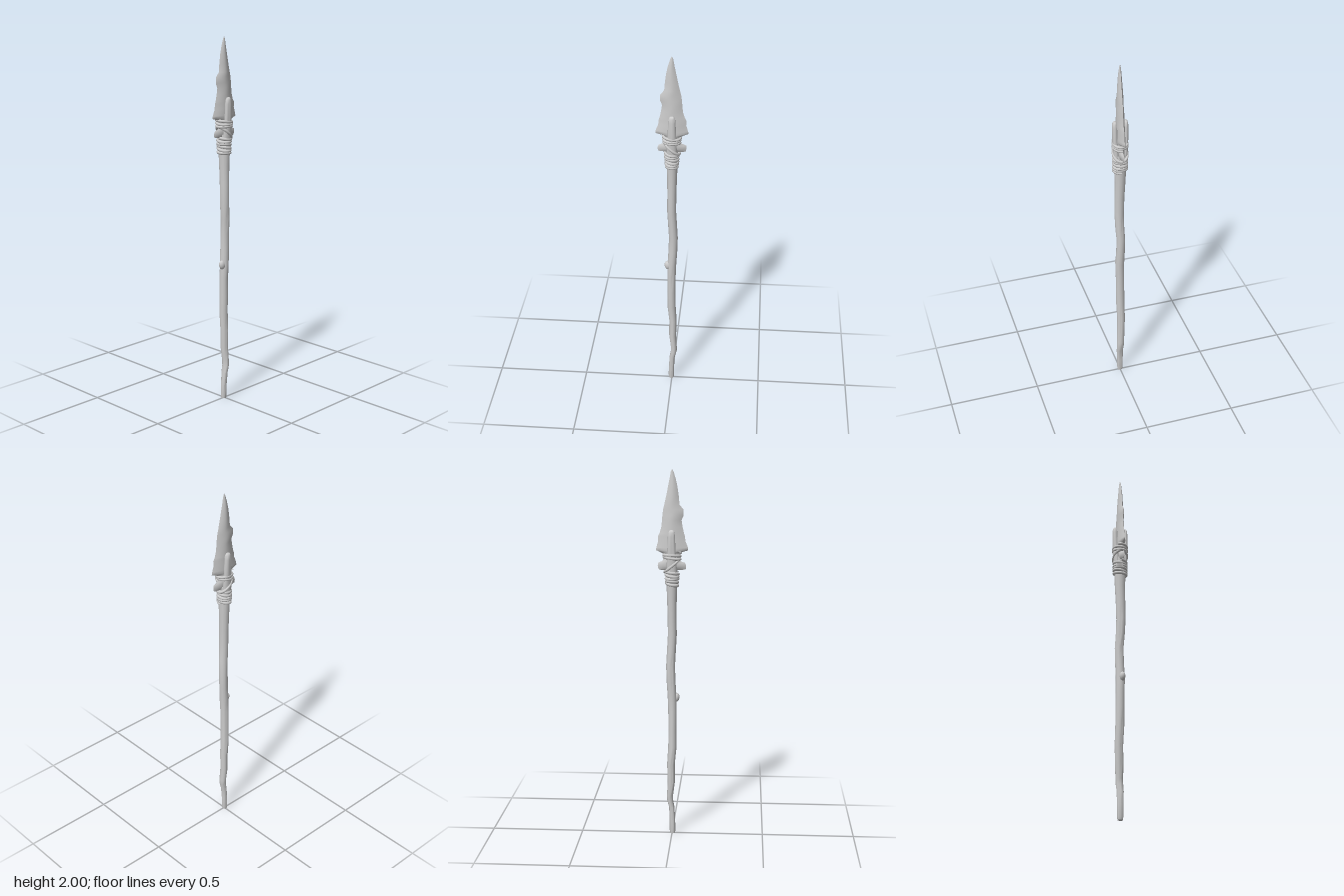
import * as THREE from 'three';
import { toCreasedNormals } from 'three/addons/utils/BufferGeometryUtils.js';

const material = new THREE.MeshStandardMaterial({ color: 0xcccccc });

// Skin a list of point loops (bottom to top) with quads.
function skin(loops, closed) {
  const n = loops[0].length, positions = [], index = [];
  loops.forEach(loop => loop.forEach(p => positions.push(...p)));
  for (let i = 0; i < loops.length - 1; i++) {
    for (let j = 0; j < (closed ? n : n - 1); j++) {
      const k = (j + 1) % n;
      const a = i * n + j, b = a + n, c = i * n + k, d = c + n;
      index.push(a, b, c, c, b, d);
    }
  }
  const geometry = new THREE.BufferGeometry();
  geometry.setAttribute('position', new THREE.Float32BufferAttribute(positions, 3));
  geometry.setIndex(index);
  geometry.computeVertexNormals();
  return geometry;
}

// Elliptical sections [x, y, z, radiusX, radiusZ], closed at both ends.
function limb(sections, sides = 12) {
  const loop = ([x, y, z, rx, rz], s = 1) => Array.from({ length: sides }, (_, j) => {
    const a = (j / sides) * Math.PI * 2;
    return [x + Math.cos(a) * rx * s, y, z + Math.sin(a) * rz * s];
  });
  const loops = sections.map(s => loop(s));
  loops.unshift(loop(sections[0], 0));
  loops.push(loop(sections[sections.length - 1], 0));
  return toCreasedNormals(skin(loops, true), 0.9);
}

export function createModel() {
  const model = new THREE.Group();
  const add = (name, geometry, parent = model) => {
    const mesh = new THREE.Mesh(geometry, material);
    mesh.name = name;
    parent.add(mesh);
    return mesh;
  };

  // Crooked wooden shaft
  add('shaft', limb([
    [-0.003, 0, 0, 0.013, 0.014], [-0.003, 0.015, 0, 0.016, 0.016],
    [-0.002, 0.08, 0, 0.015, 0.017], [0.002, 0.15, 0.002, 0.015, 0.019],
    [0.011, 0.19, 0.001, 0.017, 0.02], [0.011, 0.22, 0, 0.017, 0.021],
    [0.004, 0.3, -0.003, 0.02, 0.022], [0.006, 0.4, -0.004, 0.021, 0.023],
    [-0.002, 0.5, -0.002, 0.023, 0.024], [-0.002, 0.6, -0.001, 0.022, 0.024],
    [-0.002, 0.7, 0, 0.023, 0.024], [0, 0.78, 0.002, 0.024, 0.025],
    [0.005, 0.86, -0.001, 0.024, 0.024], [0.008, 0.95, -0.002, 0.024, 0.024],
    [0.004, 1.03, 0.003, 0.024, 0.025], [-0.001, 1.12, 0.005, 0.024, 0.026],
    [0, 1.22, 0.003, 0.024, 0.027], [0.001, 1.32, 0, 0.026, 0.029],
    [0.001, 1.4, 0, 0.029, 0.033], [0.001, 1.49, 0, 0.031, 0.036],
  ]));

  // Stub of a broken twig
  const knot = add('knot', new THREE.SphereGeometry(1, 12, 8));
  knot.scale.set(0.02, 0.026, 0.016);
  knot.position.set(-0.02, 0.775, 0.006);
  knot.rotation.z = 0.25;

  // Split top of the shaft gripping the blade
  for (const side of [1, -1]) {
    add(side > 0 ? 'frontProng' : 'backProng', limb([
      [0.001, 1.42, side * 0.02, 0.026, 0.014], [0.001, 1.5, side * 0.024, 0.026, 0.015],
      [0.002, 1.58, side * 0.028, 0.022, 0.014], [0.002, 1.65, side * 0.029, 0.019, 0.014],
      [0.002, 1.672, side * 0.029, 0.017, 0.012], [0.002, 1.682, side * 0.029, 0.011, 0.008],
      [0.002, 1.685, side * 0.029, 0.005, 0.004],
    ]));
  }

  // Chipped stone blade: [y, left edge, right edge, half thickness]
  const rows = [
    [1.472, -0.055, 0.06, 0.002], [1.476, -0.072, 0.072, 0.012],
    [1.494, -0.075, 0.076, 0.018], [1.51, -0.068, 0.074, 0.018],
    [1.52, -0.042, 0.05, 0.019], [1.555, -0.04, 0.042, 0.02],
    [1.566, -0.05, 0.062, 0.021], [1.576, -0.085, 0.086, 0.022],
    [1.59, -0.084, 0.083, 0.022], [1.625, -0.07, 0.073, 0.021],
    [1.65, -0.068, 0.075, 0.02], [1.665, -0.063, 0.066, 0.02],
    [1.7, -0.055, 0.056, 0.019], [1.735, -0.05, 0.053, 0.019],
    [1.76, -0.061, 0.051, 0.018], [1.79, -0.06, 0.047, 0.017],
    [1.815, -0.039, 0.041, 0.016], [1.86, -0.035, 0.031, 0.014],
    [1.91, -0.028, 0.021, 0.011], [1.95, -0.019, 0.013, 0.008],
    [1.985, -0.008, 0.007, 0.004], [2, 0, 0, 0],
  ];
  const blade = new THREE.Group();
  blade.name = 'blade';
  model.add(blade);
  for (const side of [1, -1]) {
    const loops = rows.map(([y, left, right, t]) => Array.from({ length: 13 }, (_, j) => {
      const s = (1 - j / 6) * side;
      const x = (left + right) / 2 + s * (right - left) / 2;
      return [x, y, side * t * (1 - Math.abs(s) ** 1.8)];
    }));
    add(side > 0 ? 'bladeFront' : 'bladeBack', skin(loops, false), blade);
  }

  // Cord windings
  const binding = new THREE.Group();
  binding.name = 'binding';
  model.add(binding);
  class Winding extends THREE.Curve {
    constructor(y0, y1, turns, rx0, rx1, rz) {
      super();
      Object.assign(this, { y0, y1, turns, rx0, rx1, rz });
    }
    getPoint(t, target = new THREE.Vector3()) {
      const a = t * this.turns * Math.PI * 2;
      const rx = THREE.MathUtils.lerp(this.rx0, this.rx1, t);
      const y = THREE.MathUtils.lerp(this.y0, this.y1, t) + 0.003 * Math.sin(a * 1.3);
      return target.set(Math.cos(a) * rx, y, Math.sin(a) * this.rz);
    }
  }
  add('lowerWinding', new THREE.TubeGeometry(
    new Winding(1.384, 1.468, 5.5, 0.028, 0.034, 0.034), 130, 0.0085, 8), binding);
  add('upperWinding', new THREE.TubeGeometry(
    new Winding(1.525, 1.562, 2.6, 0.042, 0.045, 0.036), 80, 0.0075, 8), binding);

  // Slanted cord passing between the blade's side notches
  const slanted = Array.from({ length: 16 }, (_, j) => {
    const a = (j / 16) * Math.PI * 2;
    return new THREE.Vector3(Math.cos(a) * 0.039, 1.495 - Math.cos(a) * 0.033, Math.sin(a) * 0.037);
  });
  add('slantedCord', new THREE.TubeGeometry(
    new THREE.CatmullRomCurve3(slanted, true), 48, 0.0075, 8, true), binding);

  return model;
}
